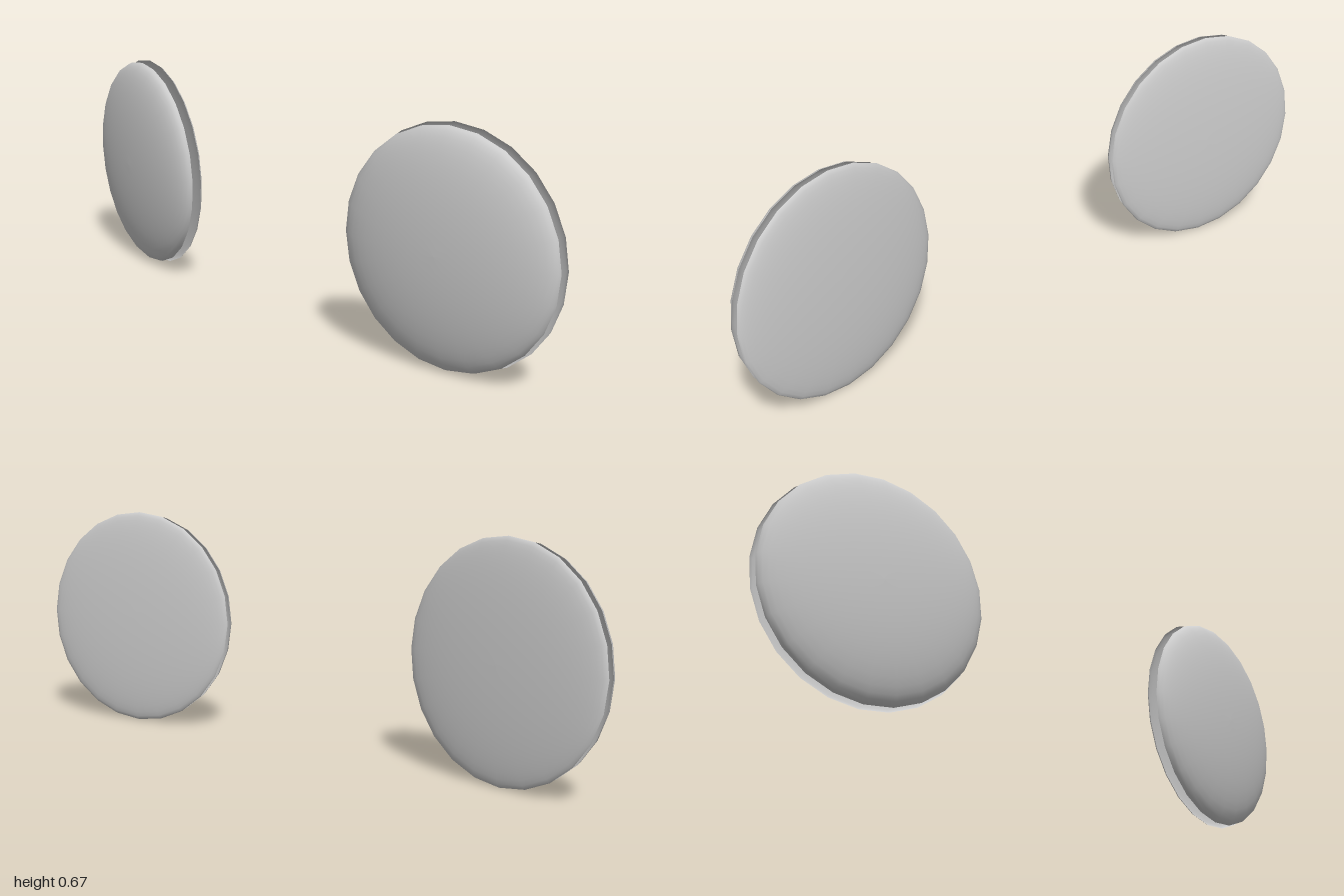
import * as THREE from 'three';

const material = new THREE.MeshStandardMaterial({ color: 0xcccccc, side: THREE.DoubleSide });

// Open, shallow elliptical dome facing +z (depth > 0) or -z (depth < 0)
function shell(name, radius, depth) {
  const points = [];
  const steps = 12;
  for (let i = 0; i <= steps; i++) {
    const a = (i / steps) * Math.PI / 2;
    points.push(new THREE.Vector2(i === steps ? 0 : radius * Math.cos(a), depth * Math.sin(a)));
  }
  if (depth < 0) points.reverse();
  const geometry = new THREE.LatheGeometry(points, 24);
  geometry.rotateX(Math.PI / 2);
  const mesh = new THREE.Mesh(geometry, material);
  mesh.name = name;
  return mesh;
}

// One disc: a deeper front shell and a flatter back shell with a thin gap
function disc(name, side) {
  const group = new THREE.Group();
  group.name = name;
  const front = shell('frontShell', 0.328, 0.0665);
  const back = shell('backShell', 0.333, -0.033);
  front.position.z = 0.013;
  back.position.z = -0.013;
  group.add(front, back);
  group.position.set(side * 0.673, 0.333, -0.011);
  group.rotation.set(0.03, side * 0.166, 0);
  return group;
}

export function createModel() {
  const model = new THREE.Group();
  model.name = 'discPair';
  model.add(disc('leftDisc', 1), disc('rightDisc', -1));
  return model;
}
